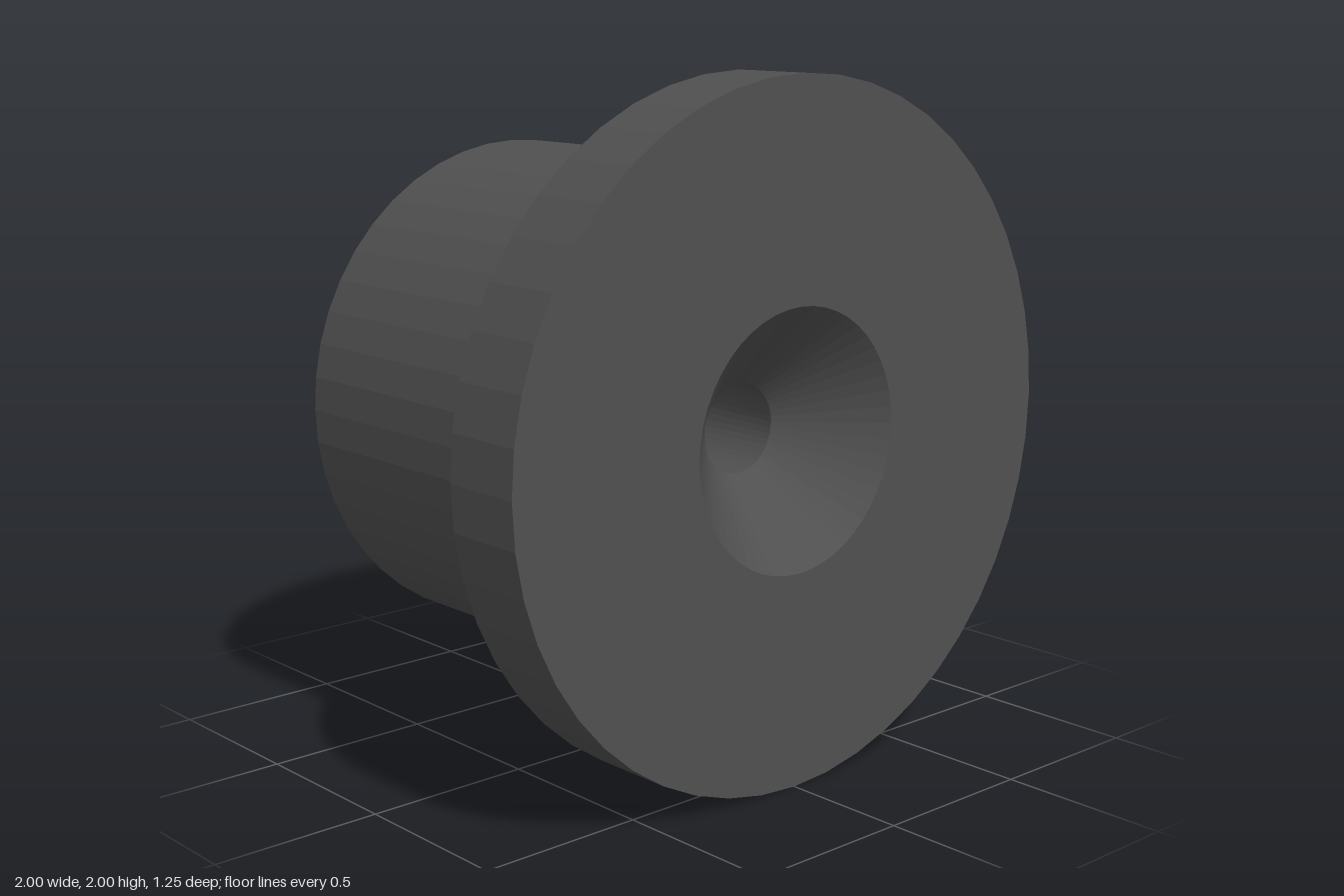
import * as THREE from 'three';

export function createModel() {
  const group = new THREE.Group();
  const material = new THREE.MeshStandardMaterial({ color: 0x505050, flatShading: true });

  // Closed profile as (radius, distance along the axis), back to front
  const profile = [
    [0.2, -0.625],   // back mouth of the bore
    [0.75, -0.625],  // barrel back rim
    [0.75, 0.375],   // barrel meets flange
    [1, 0.375],      // flange back rim
    [1, 0.625],      // flange front rim
    [0.375, 0.625],  // countersink mouth
    [0.13, 0.385],   // countersink throat
    [0.2, -0.625],   // tapered bore, back to the start
  ].map(([r, y]) => new THREE.Vector2(r, y));

  // Turned around its axis, then laid so the flange faces the front
  const geometry = new THREE.LatheGeometry(profile, 48);
  geometry.rotateX(Math.PI / 2);
  geometry.translate(0, 1, 0);

  const bushing = new THREE.Mesh(geometry, material);
  bushing.name = 'flangedBushing';
  group.add(bushing);
  return group;
}
